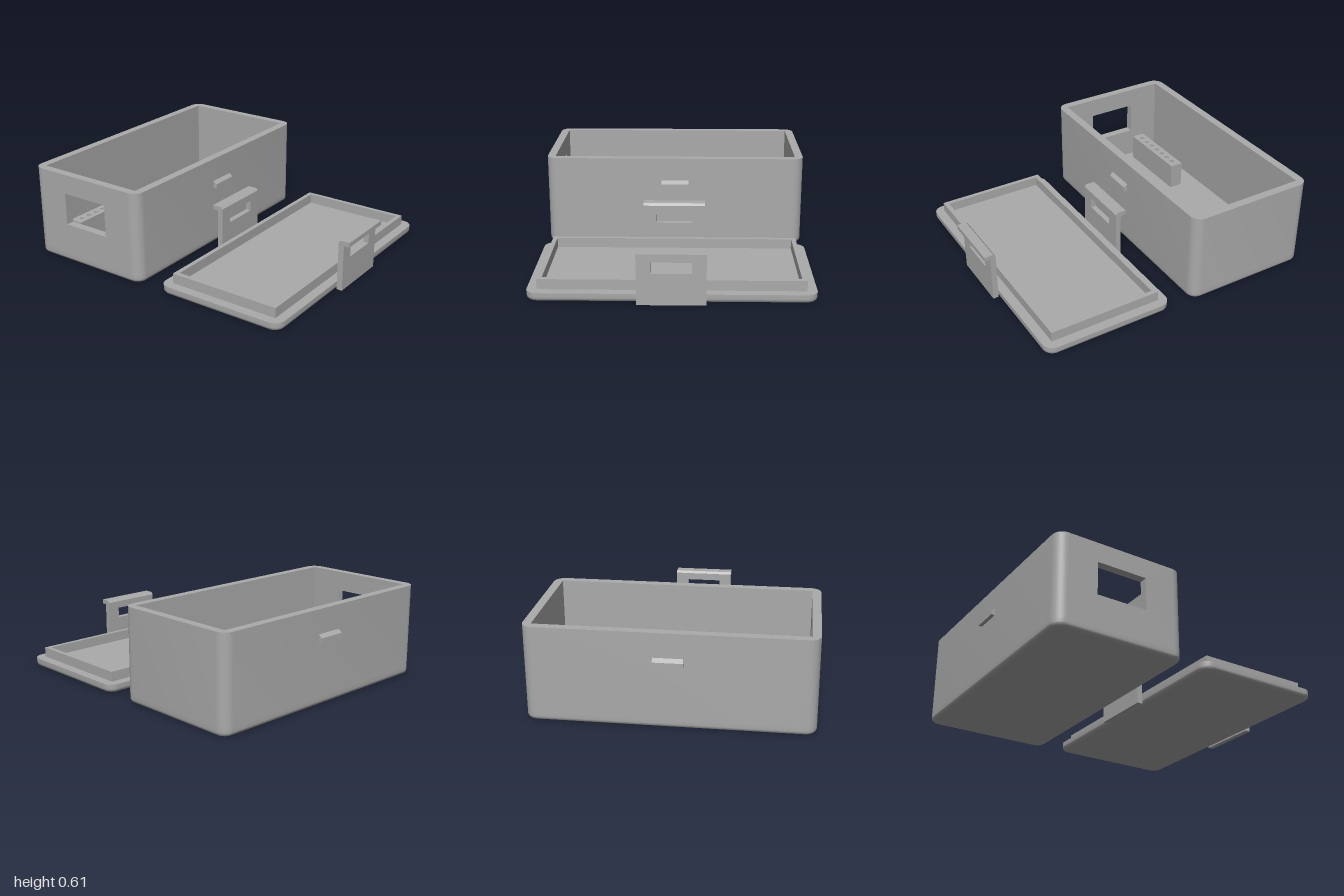
import * as THREE from 'three';
import { toCreasedNormals } from 'three/addons/utils/BufferGeometryUtils.js';

const W = 0.872, D = 0.436, R = 0.07;   // half width, half depth, corner radius
const T = 0.055, H = 0.605;             // wall thickness, box height
const BOX_Z = -0.54, LID_Z = 0.489;

const plastic = new THREE.MeshStandardMaterial({ color: 0xaaaaaa });
plastic.name = 'grey plastic';

function add(parent, name, geometry) {
  const mesh = new THREE.Mesh(geometry, plastic);
  mesh.name = name;
  parent.add(mesh);
  return mesh;
}

const v = (x, y) => new THREE.Vector2(x, y);
const rect = (x0, y0, x1, y1) => [v(x0, y0), v(x1, y0), v(x1, y1), v(x0, y1)];

// Outline of a rounded rectangle, starting on the -x side
function outline(hw, hd, r) {
  const pts = [];
  const corners = [[-1, -1], [1, -1], [1, 1], [-1, 1]];
  corners.forEach(([sx, sy], c) => {
    for (let i = 0; i <= 8; i++) {
      const a = Math.PI + (c + i / 8) * Math.PI / 2;
      pts.push(v(sx * (hw - r) + r * Math.cos(a), sy * (hd - r) + r * Math.sin(a)));
    }
  });
  return pts;
}

function extrude(points, holes, depth) {
  const shape = new THREE.Shape(points);
  holes.forEach(h => shape.holes.push(new THREE.Path(h)));
  return toCreasedNormals(
    new THREE.ExtrudeGeometry(shape, { depth, bevelEnabled: false, steps: 1 }), 0.6);
}

// Extrude a plan shape upwards from y0 to y1
function upright(points, holes, y0, y1) {
  return extrude(points, holes, y1 - y0).rotateX(-Math.PI / 2).translate(0, y0, 0);
}

// Slab with rounded corners and a filleted bottom edge
function slab() {
  const f = 0.026, pos = [], index = [], rings = [];
  for (let k = 0; k <= 5; k++) {
    const a = k / 5 * Math.PI / 2;
    rings.push([f * (1 - Math.sin(a)), f * (1 - Math.cos(a))]);
  }
  rings.push([0, T]);
  rings.forEach(([inset, y]) =>
    outline(W - inset, D - inset, R - inset).forEach(p => pos.push(p.x, y, -p.y)));
  const n = pos.length / 3 / rings.length, last = (rings.length - 1) * n;
  const bottom = pos.length / 3, top = bottom + 1;
  pos.push(0, 0, 0, 0, T, 0);
  for (let i = 0; i < n; i++) {
    const j = (i + 1) % n;
    index.push(bottom, j, i, top, last + i, last + j);
    for (let k = 0; k < last; k += n) {
      index.push(k + i, k + j, k + n + j, k + i, k + n + j, k + n + i);
    }
  }
  const g = new THREE.BufferGeometry();
  g.setAttribute('position', new THREE.Float32BufferAttribute(pos, 3));
  g.setIndex(index);
  return toCreasedNormals(g.toNonIndexed(), 0.6);
}

// Extrude a (z, y) profile along x, centred
function alongX(profile, width) {
  return extrude(profile, [], width).rotateY(-Math.PI / 2).translate(width / 2, 0, 0);
}

function buildBox() {
  const box = new THREE.Group();
  box.name = 'box';
  box.position.z = BOX_Z;
  add(box, 'boxFloor', slab());

  // Three walls and the rounded corners, open at the -x end
  const flat = D - R, iw = W - T, id = D - T;
  add(box, 'boxWalls', upright([
    ...outline(W, D, R),
    v(-iw, flat), v(-iw, id), v(iw, id), v(iw, -id), v(-iw, -id), v(-iw, -flat),
  ], [], T, H));

  // End wall with the socket window
  const end = extrude(rect(-flat, T, flat, H), [rect(-0.168, 0.26, 0.168, 0.475)], T);
  end.rotateY(-Math.PI / 2).translate(-iw, 0, 0);
  add(box, 'windowWall', end);

  // Pin sockets standing on the floor
  for (const side of [-1, 1]) {
    const holes = [];
    for (let i = 0; i < 7; i++) {
      const hole = new THREE.Path().absarc(-0.702 + i * 0.067, 0, 0.016, 0, Math.PI * 2);
      holes.push(hole.getPoints(8).slice(0, -1));
    }
    const socket = upright(rect(-0.762, -0.045, -0.238, 0.045), holes, T, 0.235);
    add(box, 'pinSocket', socket).position.z = side * 0.2;
  }

  // Wedge catches on the long walls
  for (const turn of [0, Math.PI]) {
    const profile = [v(D - 0.005, 0.4), v(D + 0.024, 0.4), v(D + 0.024, 0.43), v(D, 0.45), v(D - 0.005, 0.45)];
    add(box, 'catch', alongX(profile, 0.184)).rotation.y = turn;
  }
  return box;
}

function buildLid() {
  const lid = new THREE.Group();
  lid.name = 'lid';
  lid.position.z = LID_Z;
  add(lid, 'lidPlate', slab());
  add(lid, 'lidRim', upright(rect(-0.81, -0.375, 0.81, 0.375),
    [rect(-0.78, -0.345, 0.78, 0.345)], T, 0.12));

  // Slotted latch arms with an outward lip
  for (const turn of [0, Math.PI]) {
    const latch = new THREE.Group();
    latch.name = 'latch';
    latch.rotation.y = turn;
    const arm = extrude(rect(-0.207, 0, 0.207, 0.305), [rect(-0.12, 0.2, 0.12, 0.27)], 0.037);
    add(latch, 'latchArm', arm.translate(0, 0, D));
    const lip = [v(D, 0.305), v(D + 0.075, 0.305), v(D + 0.075, 0.335), v(D + 0.014, 0.335), v(D, 0.32)];
    add(latch, 'latchLip', alongX(lip, 0.414));
    lid.add(latch);
  }
  return lid;
}

export function createModel() {
  const model = new THREE.Group();
  model.name = 'enclosure';
  model.add(buildBox(), buildLid());
  return model;
}
